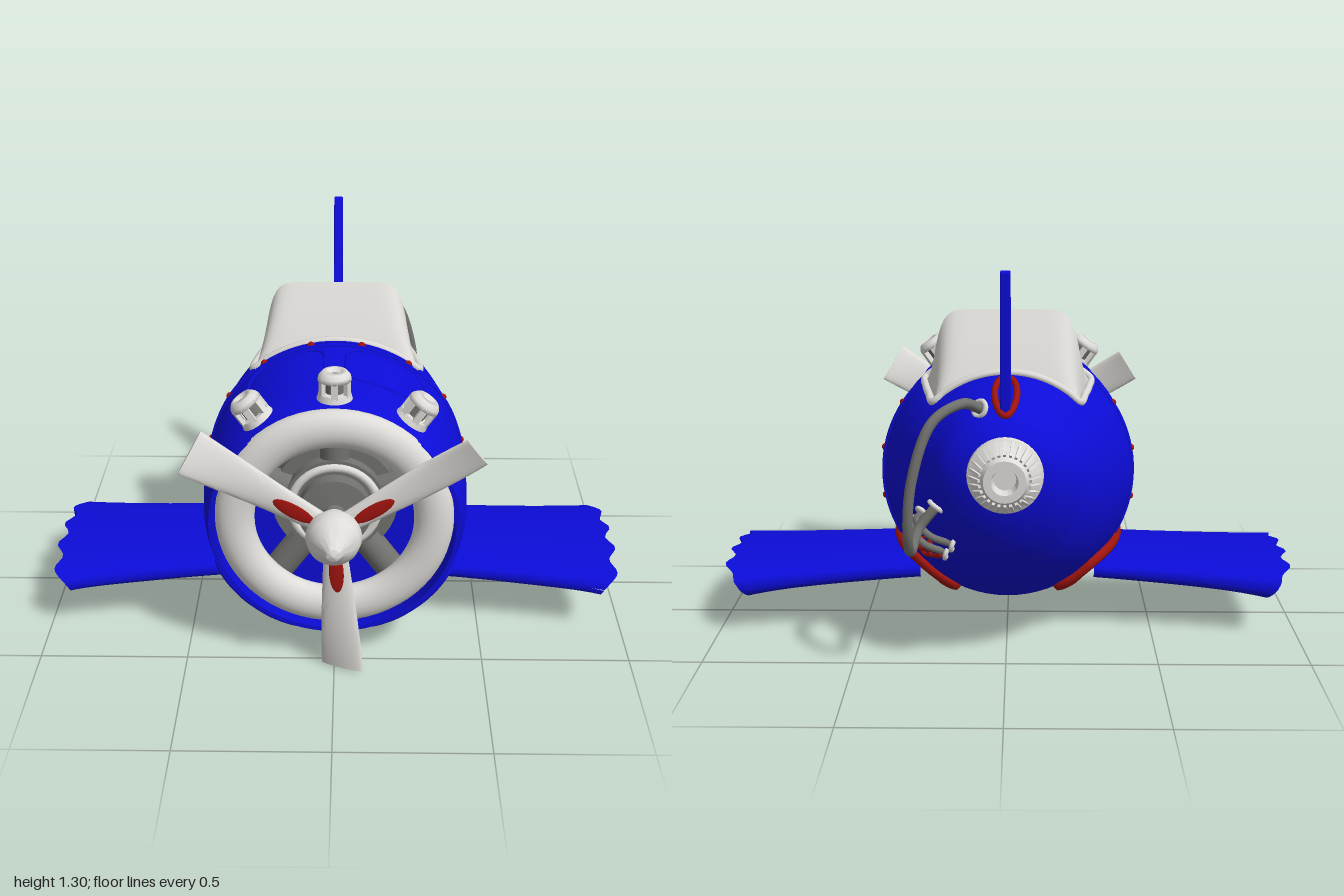
import * as THREE from 'three';
import { toCreasedNormals } from 'three/addons/utils/BufferGeometryUtils.js';

const V = (x, y, z) => new THREE.Vector3(x, y, z);
const mat = (name, color) => Object.assign(new THREE.MeshStandardMaterial({ color }), { name });

// Fuselage stations: z, then top, bottom, half width
const STATIONS = [
  [-0.64, 0.79, 0.58, 0.11], [-0.6, 0.845, 0.475, 0.185], [-0.5, 0.9, 0.335, 0.255],
  [-0.4, 0.925, 0.25, 0.31], [-0.2, 0.955, 0.145, 0.39], [0, 0.975, 0.085, 0.437],
  [0.2, 0.965, 0.075, 0.447], [0.4, 0.945, 0.085, 0.433], [0.49, 0.92, 0.115, 0.412],
];
const spline = new THREE.CubicInterpolant(STATIONS.map(s => s[0]), STATIONS.flatMap(s => s.slice(1)), 3);
function station(z) {
  const [top, bottom, w] = spline.evaluate(z);
  return { cy: (top + bottom) / 2, hy: (top - bottom) / 2, w };
}
// Point on the fuselage, angle a measured from the top towards +x
function bodyPoint(z, a, off = 0, scale = 1) {
  const { cy, hy, w } = station(z);
  return V((w * scale + off) * Math.sin(a), cy + (hy * scale + off) * Math.cos(a), z);
}
// Point on the fuselage flank at a given height
function flank(z, y, side = 1, off = 0) {
  const { cy, hy, w } = station(z);
  return V(side * (w * Math.sqrt(Math.max(0, 1 - ((y - cy) / hy) ** 2)) + off), y, z);
}
// Surface through a grid of points
function grid(nu, nv, fn, crease = 0.6) {
  const pos = [], idx = [];
  for (let i = 0; i <= nu; i++) for (let j = 0; j <= nv; j++) pos.push(...fn(i, j).toArray());
  for (let i = 0; i < nu; i++) for (let j = 0; j < nv; j++) {
    const a = i * (nv + 1) + j, b = a + nv + 1;
    idx.push(a, b, a + 1, b, b + 1, a + 1);
  }
  const g = new THREE.BufferGeometry();
  g.setAttribute('position', new THREE.Float32BufferAttribute(pos, 3));
  g.setIndex(idx);
  return toCreasedNormals(g, crease);
}
const tube = (pts, r, closed = false, n = 64) =>
  new THREE.TubeGeometry(new THREE.CatmullRomCurve3(pts, closed), n, r, 8, closed);
// Lathe turned about the z axis; points are [radius, z] with z rising
const latheZ = (pts, seg = 40) => toCreasedNormals(
  new THREE.LatheGeometry(pts.map(p => new THREE.Vector2(...p)), seg).rotateX(Math.PI / 2), 0.6);
// Rounded rectangle outline, mapped by fn(u, v)
const roundedLoop = (u, v, hu, hv, fn, n = 32) => Array.from({ length: n }, (_, i) => {
  const t = i / n * Math.PI * 2, p = q => Math.sign(q) * Math.abs(q) ** 0.45;
  return fn(u + hu * p(Math.cos(t)), v + hv * p(Math.sin(t)));
});

export function createModel() {
  const model = new THREE.Group();
  const blue = mat('blue paint', 0x0c0cd8), white = mat('off-white', 0xdedcd8);
  const red = mat('red trim', 0xa0140e), grey = mat('grey metal', 0x72726f);
  const add = (name, geo, m, parent = model) => {
    const mesh = new THREE.Mesh(geo, m);
    mesh.name = name;
    parent.add(mesh);
    return mesh;
  };
  const CY = 0.545;

  // Fuselage with cockpit recess and hollow nose
  const floorY = z => 0.87 + (z - 0.01) * 0.08;
  const zs = [...Array.from({ length: 46 }, (_, i) => -0.64 + 1.13 * i / 45), -0.301, -0.3, 0.01, 0.011].sort((a, b) => a - b);
  const rows = [[-0.64, 0], ...zs.map(z => [z, 1]), [0.49, 0.965], [0.27, 0.95], [0.27, 0]];
  add('fuselage', grid(rows.length - 1, 72, (i, j) => {
    const [z, s] = rows[i], p = bodyPoint(z, j / 72 * Math.PI * 2, 0, s);
    if (z > -0.3005 && z < 0.0105) p.y = Math.min(p.y, floorY(z));
    return p;
  }), blue);

  // Cockpit floor, canopy and frame
  add('cockpitFloor', grid(12, 2, (i, j) => {
    const z = -0.3 + 0.31 * i / 12;
    return V((j - 1) * (flank(z, floorY(z)).x - 0.002), floorY(z) + 0.004, z);
  }), white);
  add('canopy', grid(40, 40, (i, j) => {
    const t = i / 40, z = -0.29 + 0.29 * t, s = Math.sin((j / 20 - 1) * Math.PI / 2);
    const h = (1 - Math.abs(2 * t - 1)) ** 0.85, half = 0.235 + 0.05 * t;
    return V(s * half, floorY(z) + 0.275 * h * (1 - Math.abs(s) ** 10), z);
  }, 0.7), white);
  const bow = (z, dir) => {
    const { cy, hy } = station(z), a = Math.acos((floorY(z) - cy) / hy);
    return Array.from({ length: 13 }, (_, i) => bodyPoint(z, dir * a * (1 - i / 6), 0.004));
  };
  add('cockpitFrame', tube([...bow(0.01, -1), ...[-0.1, -0.2].map(z => flank(z, floorY(z), 1, 0.003)),
    ...bow(-0.3, 1), ...[-0.2, -0.1].map(z => flank(z, floorY(z), -1, 0.003))], 0.013, true, 160), white);

  // Riveted seam and raised panel outlines
  for (const z of [0.02, 0.047]) add('seamBand', tube(
    Array.from({ length: 48 }, (_, i) => bodyPoint(z, i / 48 * Math.PI * 2, 0.001)), 0.006, true, 96), blue);
  for (let k = 0; k < 16; k++) {
    const a = (k + 0.5) / 16 * Math.PI * 2;
    const rivet = add('rivet', new THREE.SphereGeometry(0.013, 10, 8), red);
    rivet.position.copy(bodyPoint(0.033, a, 0.002));
  }
  for (const side of [-1, 1]) {
    add('topHatch', tube(roundedLoop(0.18, side * 0.4, 0.11, 0.32, (z, a) => bodyPoint(z, a, 0)), 0.006, true, 96), blue);
    add('lowerPanel', tube(roundedLoop(0.405, 0.22, 0.05, 0.11, (z, y) => flank(z, y, side)), 0.012, true, 96), blue);
  }

  // Nose ring and engine
  const ring = add('noseRing', new THREE.TorusGeometry(0.325, 0.065, 20, 64), white);
  ring.position.set(0, CY, 0.475);
  ring.scale.z = 0.75;
  const engine = new THREE.Group();
  engine.name = 'engine';
  engine.position.y = CY;
  model.add(engine);
  add('engineCore', latheZ([[0.21, 0.27], [0.21, 0.36], [0.17, 0.36], [0.17, 0.4], [0.12, 0.4],
    [0.12, 0.45], [0.04, 0.46], [0.035, 0.53]]), grey, engine);
  add('engineCollar', new THREE.TorusGeometry(0.145, 0.014, 10, 40), white, engine).position.z = 0.4;
  for (let k = 0; k < 5; k++) {
    const a = k / 5 * Math.PI * 2 + Math.PI / 2;
    const c = add('engineCylinder', new THREE.CylinderGeometry(0.05, 0.05, 0.22, 20), grey, engine);
    c.position.set(Math.cos(a) * 0.27, Math.sin(a) * 0.27, 0.35);
    c.rotation.z = a - Math.PI / 2;
  }

  // Propeller
  const prop = new THREE.Group();
  prop.name = 'propeller';
  prop.position.y = CY;
  model.add(prop);
  add('spinner', latheZ([[0, 0.5], [0.05, 0.505], [0.055, 0.55], [0.085, 0.575], [0.091, 0.6], [0.083, 0.635],
    [0.06, 0.665], [0.036, 0.69], [0.022, 0.715], [0, 0.725]]), white, prop);
  const blade = grid(21, 24, (i, j) => {
    const t = Math.min(i, 20) / 20, s = i > 20 ? 0 : 1, a = j / 24 * Math.PI * 2;
    const twist = -0.45 * t * t, x = s * (0.035 + 0.042 * t) * Math.cos(a), z = s * (0.022 - 0.011 * t) * Math.sin(a);
    return V(x * Math.cos(twist) - z * Math.sin(twist), 0.04 + 0.49 * t, x * Math.sin(twist) + z * Math.cos(twist));
  });
  for (const deg of [32, 149, 273]) {
    const arm = new THREE.Group();
    arm.name = 'bladeArm';
    arm.position.z = 0.55;
    arm.rotation.z = THREE.MathUtils.degToRad(deg - 90);
    prop.add(arm);
    add('blade', blade, white, arm);
    const mark = add('bladeMark', new THREE.SphereGeometry(1, 20, 12), red, arm);
    mark.scale.set(0.024, 0.075, 0.0045);
    mark.position.set(0, 0.15, 0.021);
  }

  // Caged cylinder heads on the cowling
  for (const a of [-0.61, 0, 0.61]) {
    const head = new THREE.Group();
    head.name = 'cylinderHead';
    head.position.copy(bodyPoint(0.4, a, -0.005));
    head.rotation.z = -a;
    model.add(head);
    add('headBase', new THREE.CylinderGeometry(0.052, 0.058, 0.022, 24), white, head).position.y = 0.012;
    add('headCore', new THREE.CylinderGeometry(0.03, 0.03, 0.07, 16), grey, head).position.y = 0.045;
    for (let k = 0; k < 6; k++) {
      const post = add('headPost', new THREE.BoxGeometry(0.022, 0.06, 0.014), white, head), t = k / 6 * Math.PI * 2;
      post.position.set(Math.sin(t) * 0.046, 0.045, Math.cos(t) * 0.046);
      post.rotation.y = t;
    }
    add('headCap', new THREE.LatheGeometry([[0.04, 0.065], [0.055, 0.066], [0.052, 0.08], [0.04, 0.094], [0.024, 0.097],
      [0.022, 0.08], [0, 0.08]].map(p => new THREE.Vector2(...p)), 24), white, head);
  }

  // Wings with scalloped tips and red root collars
  for (const side of [-1, 1]) {
    add('wing', grid(21, 64, (i, j) => {
      const t = Math.min(i, 20) / 20, s = i > 20 ? 0 : 1, a = side * j / 64 * Math.PI * 2;
      const sn = Math.sin(a), v = Math.sign(sn) * Math.abs(sn) ** 0.7;
      const flare = t * t, z = 0.045 + s * (0.23 + 0.055 * flare) * Math.cos(a);
      const ripple = s * t ** 4 * Math.cos(z * 44);
      const x = 0.3 + t * (0.635 + 0.045 * s * v) + 0.014 * ripple;
      const y = 0.225 - 0.04 * t + s * v * (0.048 + 0.014 * t) + (v < 0 ? 0.008 * ripple : 0);
      return V(side * x, y, z);
    }), blue);
    add('wingCollar', tube(roundedLoop(0.045, 0.225, 0.25, 0.062, (z, y) => flank(z, y, side, 0.012)), 0.02, true, 128), red);
  }

  // Tail fin with a cut-out, and its collar
  const fin = new THREE.Shape([[0.36, 0.9], [0.56, 1.3], [0.572, 1.306], [0.583, 1.3], [0.572, 0.85]]
    .map(p => new THREE.Vector2(...p)));
  fin.holes.push(new THREE.Path([[0.566, 1.155], [0.528, 1.055], [0.565, 1.03]].map(p => new THREE.Vector2(...p))));
  add('tailFin', new THREE.ExtrudeGeometry(fin, { depth: 0.022, bevelThickness: 0.005, bevelSize: 0.004, bevelSegments: 2 })
    .translate(0, 0, -0.011).rotateY(Math.PI / 2), blue);
  add('finCollar', tube(Array.from({ length: 24 }, (_, i) => {
    const t = i / 24 * Math.PI * 2, z = -0.465 + 0.12 * Math.cos(t);
    return bodyPoint(z, 0.035 * Math.sin(t) / station(z).w, 0.004);
  }), 0.011, true, 96), red);

  // Ribbed tail nozzle
  const nozzle = new THREE.Group();
  nozzle.name = 'tailNozzle';
  nozzle.position.y = 0.685;
  model.add(nozzle);
  add('nozzleCone', latheZ([[0, -0.68], [0.035, -0.68], [0.042, -0.72], [0.066, -0.72], [0.073, -0.705],
    [0.1, -0.66], [0.118, -0.65], [0.122, -0.62]].map(p => [p[0], p[1]])), white, nozzle);
  for (let k = 0; k < 28; k++) {
    const pivot = new THREE.Group();
    pivot.rotation.z = k / 28 * Math.PI * 2;
    nozzle.add(pivot);
    const rib = add('nozzleRib', new THREE.BoxGeometry(0.009, 0.014, 0.06), white, pivot);
    rib.position.set(0, 0.093, -0.677);
    rib.rotation.x = -0.58;
  }

  // Pipes with end sockets
  const pipe = (r, ...pts) => {
    add('pipe', tube(pts, r), grey);
    for (const [p, q] of [[pts[0], pts[1]], [pts.at(-1), pts.at(-2)]]) {
      const socket = add('pipeSocket', new THREE.TorusGeometry(r + 0.008, 0.008, 8, 20), white);
      socket.position.copy(p);
      socket.lookAt(q);
    }
  };
  pipe(0.017, V(0.08, 0.878, -0.55), V(0.13, 0.905, -0.605), V(0.22, 0.86, -0.665), V(0.285, 0.68, -0.695),
    V(0.3, 0.49, -0.675), V(0.295, 0.435, -0.62), V(0.275, 0.49, -0.56), flank(-0.545, 0.56));
  for (const [z, y] of [[-0.4, 0.47], [-0.455, 0.515]])
    pipe(0.012, flank(z, y), flank(z - 0.015, y - 0.02, 1, 0.035), flank(z - 0.045, y - 0.065, 1, 0.04), flank(z - 0.06, y - 0.09));
  pipe(0.015, V(0.2, 0.125, 0.27), V(0.2, 0.09, 0.24), V(0.2, 0.085, 0.16), V(0.2, 0.125, 0.12));

  // Slatted red vent on the left flank
  for (let k = 0; k < 4; k++) add('ventSlat', tube(Array.from({ length: 6 }, (_, i) =>
    flank(-0.305 - 0.023 * i, 0.325 + 0.02 * k + 0.006 * i, 1, 0.003)), 0.008, false, 20), red);
  for (const i of [0, 2.5, 5]) add('ventBar', tube(Array.from({ length: 5 }, (_, k) =>
    flank(-0.305 - 0.023 * i, 0.325 + 0.015 * k + 0.006 * i, 1, 0.004)), 0.009, false, 20), red);

  return model;
}
